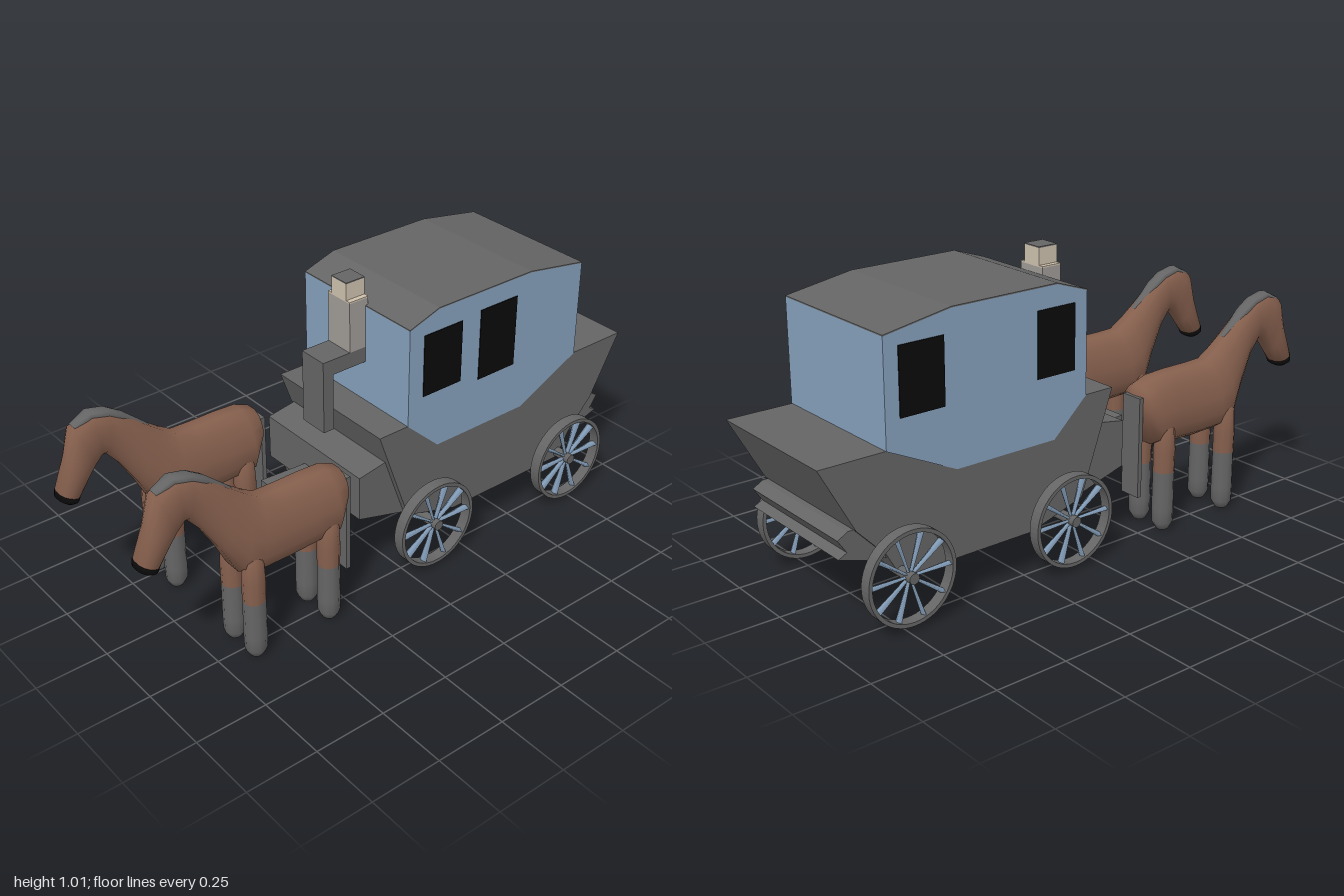
import * as THREE from 'three';

const mat = (name, color) => {
  const m = new THREE.MeshStandardMaterial({ color });
  m.name = name;
  return m;
};

export function createModel() {
  const grey = mat('charcoal grey', 0x656565);
  const blue = mat('dusty blue', 0x86a0bc);
  const brown = mat('horse brown', 0x855f4d);
  const black = mat('black', 0x0a0a0a);
  const tan = mat('tan', 0xcfc2ae);
  const coat = mat('coat grey', 0xa09b97);
  const root = new THREE.Group();
  root.name = 'horseCarriage';

  const add = (parent, name, geo, m) => {
    const mesh = new THREE.Mesh(geo, m);
    mesh.name = name;
    parent.add(mesh);
    return mesh;
  };
  // box given by its extents
  const box = (parent, name, m, x0, x1, y0, y1, z0, z1) =>
    add(parent, name, new THREE.BoxGeometry(x1 - x0, y1 - y0, z1 - z0)
      .translate((x0 + x1) / 2, (y0 + y1) / 2, (z0 + z1) / 2), m);
  // side outline of (z, y) points, extruded across x
  const profile = (parent, name, m, pts, x0, x1) => {
    const shape = new THREE.Shape(pts.map(([z, y]) => new THREE.Vector2(z, y)));
    const geo = new THREE.ExtrudeGeometry(shape, { depth: x1 - x0, bevelEnabled: false });
    return add(parent, name, geo.rotateY(-Math.PI / 2).translate(x1, 0, 0), m);
  };
  // rings: [topZ, topY, bottomZ, bottomY, halfWidth, pear]
  const loft = (rings, sides = 14) => {
    const pos = [], idx = [], n = rings.length;
    for (const [tz, ty, bz, by, w, pear = 0] of rings) {
      for (let j = 0; j < sides; j++) {
        const a = (j / sides) * Math.PI * 2, c = Math.cos(a), s = Math.sin(a);
        const bulge = Math.sign(c) * Math.pow(Math.abs(c), 0.75);
        pos.push(w * bulge * (1 - pear * s), (ty + by) / 2 + s * (ty - by) / 2, (tz + bz) / 2 + s * (tz - bz) / 2);
      }
    }
    for (const i of [0, n - 1]) {
      const [tz, ty, bz, by] = rings[i];
      pos.push(0, (ty + by) / 2, (tz + bz) / 2);
    }
    for (let j = 0; j < sides; j++) {
      const k = (j + 1) % sides;
      for (let i = 0; i < n - 1; i++) {
        const a = i * sides + j, b = i * sides + k;
        idx.push(a, b, b + sides, a, b + sides, a + sides);
      }
      idx.push(n * sides, k, j, n * sides + 1, (n - 1) * sides + j, (n - 1) * sides + k);
    }
    const geo = new THREE.BufferGeometry();
    geo.setAttribute('position', new THREE.Float32BufferAttribute(pos, 3));
    geo.setIndex(idx);
    geo.computeVertexNormals();
    return geo;
  };

  // Carriage
  const carriage = new THREE.Group();
  carriage.name = 'carriage';
  root.add(carriage);
  profile(carriage, 'lowerBody', grey,
    [[0.105, 0.565], [0.025, 0.34], [-0.02, 0.215], [-0.23, 0.152], [-0.73, 0.152], [-0.78, 0.24], [-0.88, 0.345], [-1, 0.565]], -0.266, 0.257);
  profile(carriage, 'footwell', grey,
    [[0.17, 0.43], [0.17, 0.27], [-0.2, 0.165], [-0.2, 0.45], [0.05, 0.45]], -0.25, 0.235);
  profile(carriage, 'rearStep', grey,
    [[-0.75, 0.35], [-0.9, 0.345], [-0.935, 0.325], [-0.905, 0.28], [-0.935, 0.265], [-0.84, 0.235], [-0.75, 0.22]], -0.25, 0.24);
  profile(carriage, 'cabin', blue,
    [[-0.01, 0.565], [-0.01, 0.91], [-0.13, 0.95], [-0.53, 0.95], [-0.77, 0.91], [-0.77, 0.565], [-0.52, 0.445], [-0.14, 0.445]], -0.269, 0.259);
  profile(carriage, 'roof', grey,
    [[-0.01, 0.91], [-0.01, 0.914], [-0.13, 0.954], [-0.53, 0.954], [-0.77, 0.914], [-0.77, 0.91], [-0.53, 0.95], [-0.13, 0.95]], -0.269, 0.259);
  // windows differ on the two sides
  box(carriage, 'leftFrontWindow', black, 0.257, 0.262, 0.655, 0.875, -0.23, -0.07);
  box(carriage, 'leftRearWindow', black, 0.257, 0.262, 0.63, 0.885, -0.47, -0.31);
  box(carriage, 'rightFrontWindow', black, -0.272, -0.267, 0.66, 0.88, -0.21, -0.06);
  box(carriage, 'rightRearWindow', black, -0.272, -0.267, 0.655, 0.875, -0.72, -0.56);
  profile(carriage, 'drawShaft', grey,
    [[0.1, 0.3], [0.17, 0.305], [0.35, 0.32], [0.35, 0.35], [0.17, 0.34], [0.1, 0.335]], -0.053, 0.03);

  // Wheels and axles
  const rimShape = new THREE.Shape().absarc(0, 0, 0.157, 0, Math.PI * 2);
  rimShape.holes.push(new THREE.Path().absarc(0, 0, 0.144, 0, Math.PI * 2, true));
  const rimGeo = new THREE.ExtrudeGeometry(rimShape, { depth: 0.04, bevelEnabled: false, curveSegments: 28 })
    .translate(0, 0, -0.02).rotateY(Math.PI / 2);
  const spokeGeo = new THREE.CylinderGeometry(0.008, 0.004, 0.14, 4).scale(2, 1, 1).translate(0, 0.078, 0);
  for (const [end, z] of [['front', -0.1], ['rear', -0.73]]) {
    const axle = add(carriage, end + 'Axle', new THREE.CylinderGeometry(0.018, 0.018, 0.66, 12).rotateZ(Math.PI / 2), grey);
    axle.position.set(-0.005, 0.172, z);
    for (const x of [-0.309, 0.3]) {
      const wheel = new THREE.Group();
      wheel.name = end + (x > 0 ? 'Left' : 'Right') + 'Wheel';
      wheel.position.set(x, 0.172, z);
      add(wheel, 'rim', rimGeo, grey);
      for (let i = 0; i < 10; i++) add(wheel, 'spoke', spokeGeo, blue).rotation.x = (i + 0.5) * Math.PI / 5;
      carriage.add(wheel);
    }
  }

  // Driver
  const driver = new THREE.Group();
  driver.name = 'driver';
  root.add(driver);
  box(driver, 'lowerLegs', grey, -0.064, 0.045, 0.505, 0.765, 0.122, 0.163);
  box(driver, 'thighs', grey, -0.064, 0.045, 0.71, 0.765, -0.012, 0.13);
  box(driver, 'torso', coat, -0.064, 0.045, 0.765, 0.94, -0.02, 0.055);
  box(driver, 'shoulders', tan, -0.064, 0.045, 0.94, 0.945, -0.02, 0.055);
  box(driver, 'head', tan, -0.046, 0.027, 0.945, 1.002, -0.02, 0.055);
  box(driver, 'hair', grey, -0.046, 0.027, 1.002, 1.006, -0.02, 0.055);

  // Horses
  const bodyGeo = loft([
    [0.252, 0.49, 0.25, 0.44, 0.03], [0.265, 0.522, 0.265, 0.4, 0.065, 0.1], [0.32, 0.545, 0.3, 0.31, 0.086, 0.2],
    [0.4, 0.55, 0.4, 0.3, 0.082, 0.2], [0.5, 0.55, 0.5, 0.295, 0.081, 0.2], [0.57, 0.552, 0.61, 0.3, 0.085, 0.22],
    [0.62, 0.585, 0.67, 0.32, 0.08, 0.25], [0.68, 0.63, 0.72, 0.42, 0.064, 0.15], [0.75, 0.69, 0.78, 0.52, 0.048],
    [0.8, 0.722, 0.825, 0.575, 0.043], [0.865, 0.738, 0.84, 0.575, 0.046], [0.93, 0.705, 0.865, 0.55, 0.05],
    [0.957, 0.61, 0.89, 0.515, 0.042], [0.995, 0.495, 0.93, 0.468, 0.046],
  ]);
  const muzzleGeo = loft([
    [0.997, 0.496, 0.929, 0.469, 0.047], [1, 0.475, 0.935, 0.456, 0.045], [0.985, 0.46, 0.948, 0.449, 0.03],
  ]);
  const maneGeo = loft([
    [0.66, 0.616, 0.67, 0.6, 0.012], [0.75, 0.696, 0.765, 0.668, 0.026],
    [0.8, 0.728, 0.81, 0.695, 0.027], [0.865, 0.743, 0.862, 0.71, 0.027], [0.925, 0.713, 0.91, 0.69, 0.02],
  ], 8);
  const lathe = (pts) => new THREE.LatheGeometry(pts.map(([r, y]) => new THREE.Vector2(r, y)), 10);
  const lowerLegGeo = lathe([[0, 0], [0.022, 0.003], [0.037, 0.03], [0.038, 0.08], [0.037, 0.215]]);
  const upperLegGeo = lathe([[0.037, 0.215], [0.038, 0.29], [0.034, 0.37], [0, 0.41]]);
  for (const [side, x] of [['right', -0.215], ['left', 0.235]]) {
    const horse = new THREE.Group();
    horse.name = side + 'Horse';
    horse.position.x = x;
    root.add(horse);
    add(horse, 'body', bodyGeo, brown);
    add(horse, 'muzzle', muzzleGeo, black);
    add(horse, 'mane', maneGeo, grey);
    box(horse, 'tail', grey, -0.04, 0.04, 0.135, 0.49, 0.24, 0.256);
    for (const z of [0.343, 0.633]) {
      for (const dx of [-0.057, 0.057]) {
        add(horse, 'lowerLeg', lowerLegGeo, grey).position.set(dx, 0, z);
        add(horse, 'upperLeg', upperLegGeo, brown).position.set(dx, 0, z);
      }
    }
  }
  return root;
}
